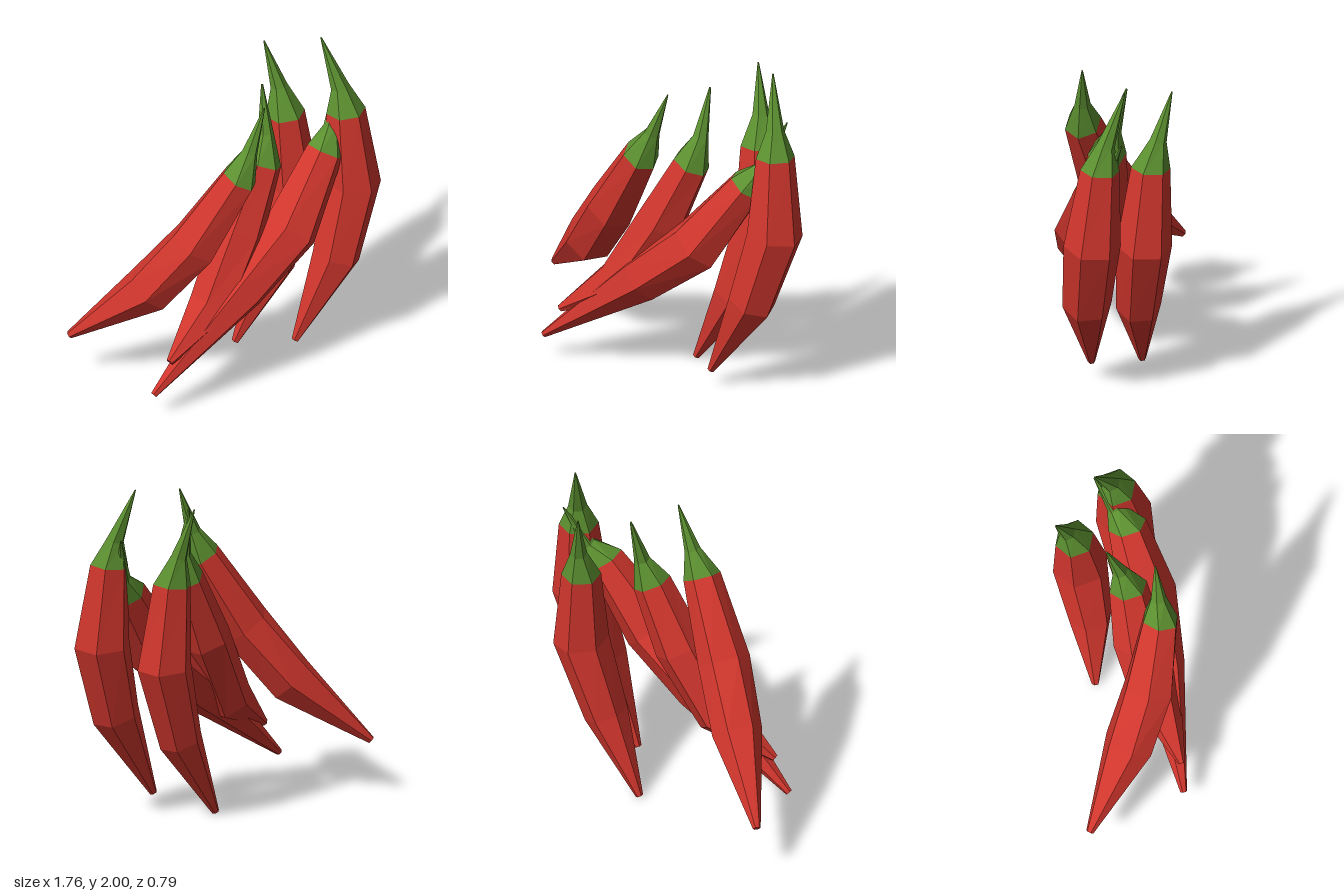
import * as THREE from 'three';

const SIDES = 6;
const PHASE = -Math.PI * 0.135; // turn of every ring about its path
const SHOULDER = 3; // ring where the red body meets the green cap

const red = new THREE.MeshStandardMaterial({ color: 0xd0362d, flatShading: true });
red.name = 'pepper red';
const green = new THREE.MeshStandardMaterial({ color: 0x5c9030, flatShading: true });
green.name = 'stem green';

// Each pepper: centres [x, y, z, radius] from the pointed end up to the stem tip
const PEPPERS = {
  leftPepper: [
    [-0.865, 0.305, -0.385, 0.023], [-0.525, 0.67, -0.075, 0.148], [-0.32, 1.0, 0.095, 0.153],
    [-0.09, 1.43, 0.215, 0.11], [-0.02, 1.59, 0.22, 0.047], [0.08, 1.86, 0.225, 0.004]],
  middlePepper: [
    [-0.59, 0.345, 0.222, 0.022], [-0.245, 0.565, 0.16, 0.142], [-0.01, 0.975, 0.105, 0.152],
    [0.17, 1.365, 0.085, 0.113], [0.215, 1.53, 0.05, 0.047], [0.243, 1.82, -0.025, 0.006]],
  frontPepper: [
    [-0.695, 0.15, 0.21, 0.02], [-0.08, 0.645, 0.215, 0.147], [0.265, 0.93, 0.225, 0.167],
    [0.55, 1.335, 0.17, 0.113], [0.635, 1.445, 0.115, 0.047], [0.74, 1.71, 0.02, 0.004]],
  backPepper: [
    [0.12, 0.008, -0.12, 0.022], [0.37, 0.475, -0.09, 0.13], [0.525, 0.95, -0.117, 0.163],
    [0.50, 1.44, -0.155, 0.115], [0.488, 1.61, -0.20, 0.05], [0.44, 1.90, -0.28, 0.004]],
  rightPepper: [
    [0.33, 0.103, 0.18, 0.022], [0.595, 0.61, 0.215, 0.143], [0.73, 1.06, 0.19, 0.167],
    [0.715, 1.54, 0.145, 0.115], [0.70, 1.69, 0.11, 0.055], [0.643, 2.0, 0.0, 0.004]],
};

// Rings set square to the path: bends are mitred, the shoulder stays square to the body
function makeRings(path) {
  const centres = path.map(([x, y, z]) => new THREE.Vector3(x, y, z));
  const last = centres.length - 1;
  return centres.map((c, i) => {
    const t = new THREE.Vector3();
    if (i > 0) t.add(c.clone().sub(centres[i - 1]).normalize());
    if (i < last && i !== SHOULDER) t.add(centres[i + 1].clone().sub(c).normalize());
    t.normalize();
    const u = new THREE.Vector3(1, 0, 0).addScaledVector(t, -t.x).normalize();
    const v = t.clone().cross(u);
    return Array.from({ length: SIDES }, (_, j) => {
      const a = PHASE + (j / SIDES) * Math.PI * 2;
      return c.clone()
        .addScaledVector(u, Math.cos(a) * path[i][3])
        .addScaledVector(v, Math.sin(a) * path[i][3]);
    });
  });
}

// Skin a run of rings and close both ends
function skin(rings) {
  const pos = [];
  const tri = (...pts) => pts.forEach((p) => pos.push(p.x, p.y, p.z));
  for (let i = 0; i < rings.length - 1; i++) {
    for (let j = 0; j < SIDES; j++) {
      const k = (j + 1) % SIDES;
      tri(rings[i][j], rings[i][k], rings[i + 1][k]);
      tri(rings[i][j], rings[i + 1][k], rings[i + 1][j]);
    }
  }
  const bottom = rings[0], top = rings[rings.length - 1];
  for (let j = 1; j < SIDES - 1; j++) {
    tri(bottom[0], bottom[j + 1], bottom[j]);
    tri(top[0], top[j], top[j + 1]);
  }
  const geo = new THREE.BufferGeometry();
  geo.setAttribute('position', new THREE.Float32BufferAttribute(pos, 3));
  geo.computeVertexNormals();
  return geo;
}

export function createModel() {
  const model = new THREE.Group();
  model.name = 'chilliPeppers';
  for (const [name, path] of Object.entries(PEPPERS)) {
    const rings = makeRings(path);
    const pepper = new THREE.Group();
    pepper.name = name;
    // Red body below the shoulder ring, green cap and stem above it
    const body = new THREE.Mesh(skin(rings.slice(0, SHOULDER + 1)), red);
    body.name = 'body';
    const stem = new THREE.Mesh(skin(rings.slice(SHOULDER)), green);
    stem.name = 'stem';
    pepper.add(body, stem);
    model.add(pepper);
  }
  return model;
}
